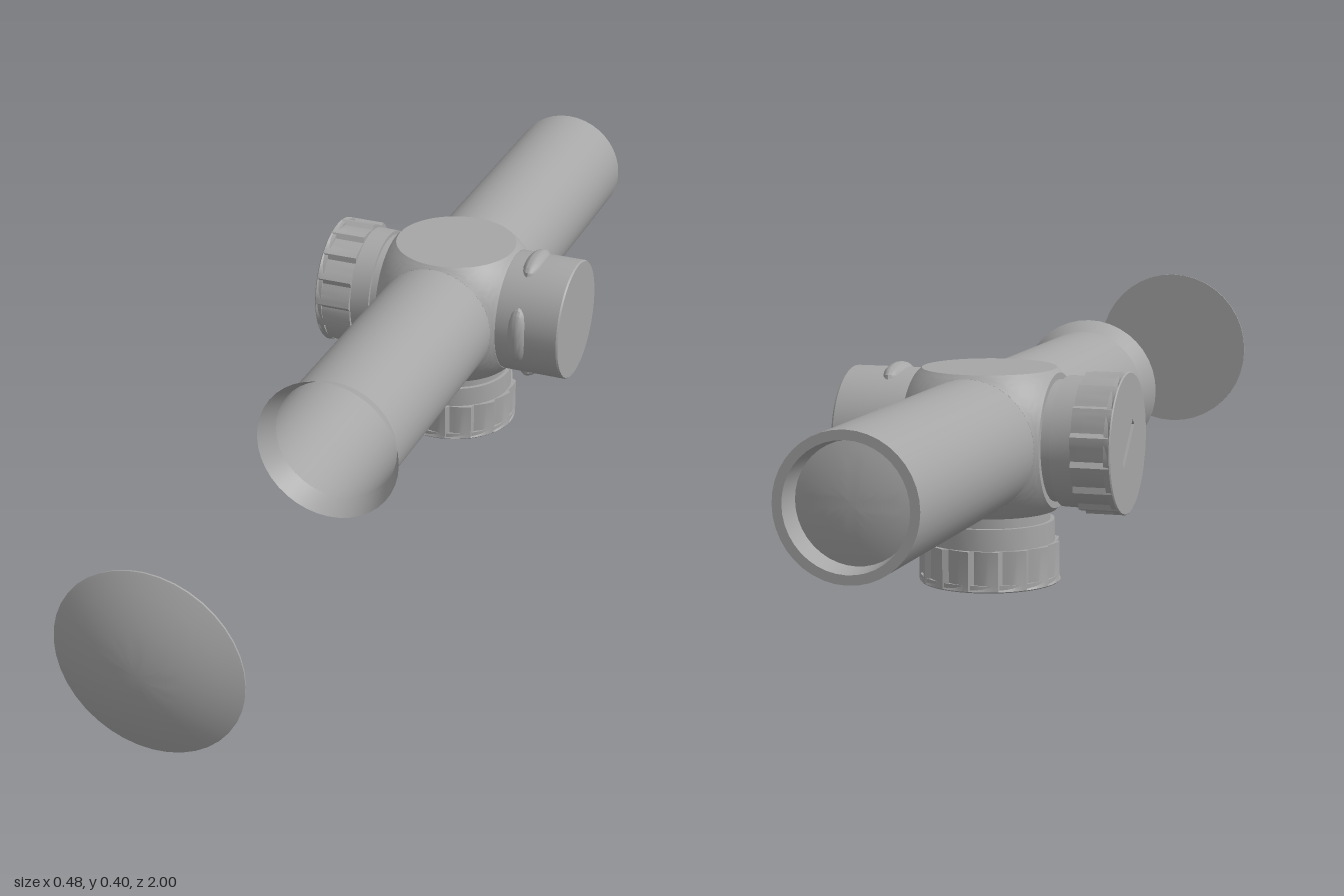
import * as THREE from 'three';
import { toCreasedNormals } from 'three/addons/utils/BufferGeometryUtils.js';

const grey = new THREE.MeshStandardMaterial({ color: 0xa6a6a6, side: THREE.DoubleSide });
grey.name = 'grey metal';

function part(name, geometry, parent, crease = 0.5) {
  const mesh = new THREE.Mesh(toCreasedNormals(geometry, crease), grey);
  mesh.name = name;
  parent.add(mesh);
  return mesh;
}

// Lathe around y from [radius, y] pairs, listed bottom to top
const lathe = (pts, sides = 40) =>
  new THREE.LatheGeometry(pts.map(([r, y]) => new THREE.Vector2(r, y)), sides);

// Sphere cut flat by six faces: each face is a disc blended into the sphere
function truncatedSphere(half, disc) {
  const n = 24, inner = 0.75, R = Math.hypot(half, disc);
  const geo = new THREE.BoxGeometry(2, 2, 2, n, n, n);
  const pos = geo.attributes.position, nor = geo.attributes.normal;
  const p = new THREE.Vector3(), axis = new THREE.Vector3();
  for (let i = 0; i < pos.count; i++) {
    axis.fromBufferAttribute(nor, i);
    p.fromBufferAttribute(pos, i).sub(axis);
    const t = Math.max(Math.abs(p.x), Math.abs(p.y), Math.abs(p.z));
    const rim = p.clone().normalize().multiplyScalar(disc * Math.min(1, t / inner)).addScaledVector(axis, half);
    if (t > inner) {
      const edge = p.clone().divideScalar(t).add(axis).setLength(R);
      rim.lerp(edge, (t - inner) / (1 - inner)).setLength(R);
    }
    pos.setXYZ(i, rim.x, rim.y, rim.z);
  }
  return geo;
}

// Ratchet-toothed side wall of an adjustment cap
function toothedWall(bottom, top, r) {
  const teeth = 15, steps = 6, sides = teeth * steps;
  const geo = new THREE.CylinderGeometry(1, 1, 1, sides, 4, true);
  const pos = geo.attributes.position;
  const heights = [top, top - 0.002, top - 0.011, bottom, bottom];
  for (let i = 0; i < pos.count; i++) {
    const row = Math.floor(i / (sides + 1)), col = i % (sides + 1);
    const cut = 0.007 * (col % steps) / (steps - 1);
    const radius = [r - 0.002, r, r - cut, r - cut, 0.1][row];
    const a = col / sides * Math.PI * 2;
    pos.setXYZ(i, Math.sin(a) * radius, heights[row], Math.cos(a) * radius);
  }
  return geo;
}

// Adjustment turret pointing along +y, with a coin slot in its end
function adjustmentTurret(name, slotAngle) {
  const g = new THREE.Group();
  g.name = name;
  const r = 0.118, top = 0.238;
  part('turretCollar', lathe([
    [0.101, 0.1], [0.101, 0.134], [0.108, 0.134], [0.109, 0.17], [0.1, 0.172],
  ]), g);
  part('turretCapWall', toothedWall(0.17, top, r), g, 0.4);

  const face = new THREE.Shape().absarc(0, 0, r - 0.002, 0, Math.PI * 2);
  const slot = new THREE.Path();
  const c = Math.cos(slotAngle), s = Math.sin(slotAngle);
  [[-1, -1], [-1, 1], [1, 1], [1, -1]].forEach(([u, v], i) => {
    const x = u * 0.045, y = v * 0.007;
    slot[i ? 'lineTo' : 'moveTo'](x * c - y * s, x * s + y * c);
  });
  slot.closePath();
  face.holes.push(slot);
  const end = new THREE.ExtrudeGeometry(face, { depth: 0.012, bevelEnabled: false, curveSegments: 45 });
  part('turretCapFace', end.rotateX(-Math.PI / 2).translate(0, top - 0.012, 0), g);
  part('slotFloor', new THREE.CircleGeometry(0.06, 24).rotateX(-Math.PI / 2).translate(0, top - 0.0125, 0), g);
  return g;
}

// Smooth turret pointing along +y, with four grip bumps
function smoothTurret() {
  const g = new THREE.Group();
  g.name = 'smoothTurret';
  part('turretBody', lathe([
    [0.108, 0.09], [0.112, 0.125], [0.112, 0.236], [0.11, 0.239], [0, 0.239],
  ]), g);
  for (let i = 0; i < 4; i++) {
    const bump = new THREE.SphereGeometry(1, 20, 12).scale(0.055, 0.021, 0.0235);
    part('gripBump', bump.translate(0, 0.159, 0.0975).rotateY(i * Math.PI / 2), g);
  }
  return g;
}

export function createModel() {
  const model = new THREE.Group();
  model.name = 'sight';

  // Optical parts: lathe axis y turned to +z
  const optics = new THREE.Group();
  optics.name = 'optics';
  optics.position.set(-0.002, 0.24, 0);
  optics.rotation.x = Math.PI / 2;
  model.add(optics);
  part('mainTube', lathe([[0.112, -1], [0.112, 0.25]]), optics);
  part('frontFlare', lathe([[0.112, 0.25], [0.13, 0.288]]), optics);
  part('eyepieceRim', lathe([[0.092, -0.96], [0.097, -1], [0.112, -1]]), optics);

  const eyeLens = [], frontLens = [[0, 0.957], [0.157, 0.957], [0.157, 0.96], [0.153, 0.962]];
  for (let i = 0; i <= 6; i++) {
    const t = i / 6;
    eyeLens.push([0.094 * t, -0.975 + 0.015 * t * t]);
    if (i) frontLens.push([0.153 * (1 - t), 1 - 0.038 * (1 - t) ** 2]);
  }
  part('eyepieceLens', lathe(eyeLens), optics);
  part('frontLens', lathe(frontLens), optics);

  // Central housing with three turrets
  const housing = new THREE.Group();
  housing.name = 'housing';
  housing.position.set(-0.002, 0.24, -0.33);
  model.add(housing);
  part('housingBlock', truncatedSphere(0.118, 0.112), housing, 0.4);

  const side = adjustmentTurret('rightTurret', -Math.PI / 4);
  side.rotation.z = Math.PI / 2;
  const lower = adjustmentTurret('bottomTurret', Math.PI / 2);
  lower.rotation.x = Math.PI;
  lower.position.y = -0.002;
  const smooth = smoothTurret();
  smooth.rotation.z = -Math.PI / 2;
  housing.add(side, lower, smooth);

  return model;
}
